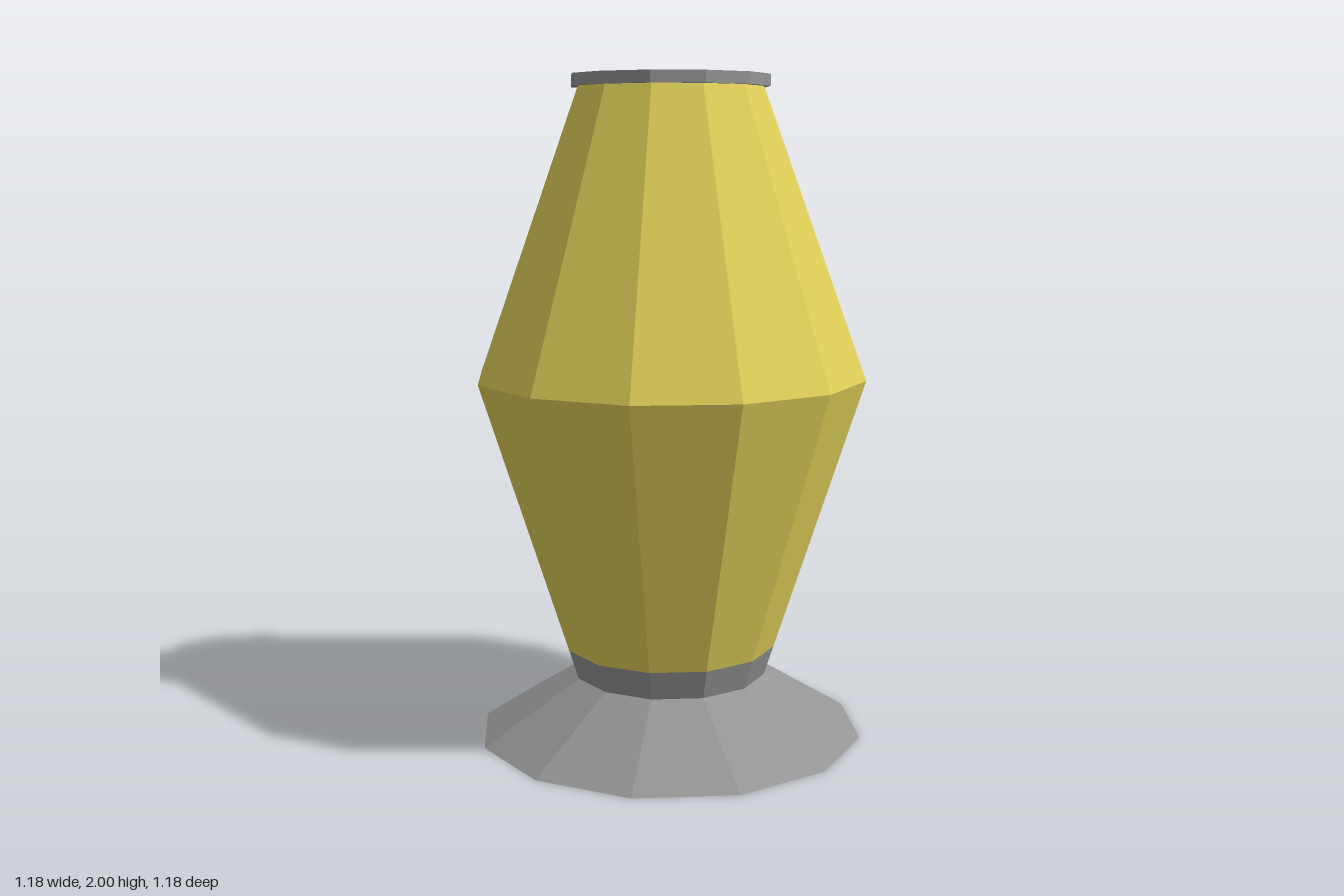
import * as THREE from 'three';

const SIDES = 12;

export function createModel() {
  const lamp = new THREE.Group();
  lamp.name = 'lamp';
  const metal = new THREE.MeshStandardMaterial({ color: 0x959595, flatShading: true });
  const glass = new THREE.MeshStandardMaterial({ color: 0xe2d25a, flatShading: true });

  // Twelve-sided tapered section standing between two heights
  function section(name, material, y0, r0, y1, r1, open) {
    const geometry = new THREE.CylinderGeometry(r1, r0, y1 - y0, SIDES, 1, open);
    const mesh = new THREE.Mesh(geometry, material);
    mesh.name = name;
    mesh.position.y = (y0 + y1) / 2;
    lamp.add(mesh);
  }

  section('flaredBase', metal, 0, 0.592, 0.185, 0.295, false);
  section('collar', metal, 0.185, 0.295, 0.275, 0.324, true);
  section('lowerGlass', glass, 0.275, 0.324, 1.105, 0.592, true);
  section('upperGlass', glass, 1.105, 0.592, 1.965, 0.28, true);
  section('cap', metal, 1.965, 0.299, 2, 0.299, false);

  return lamp;
}
